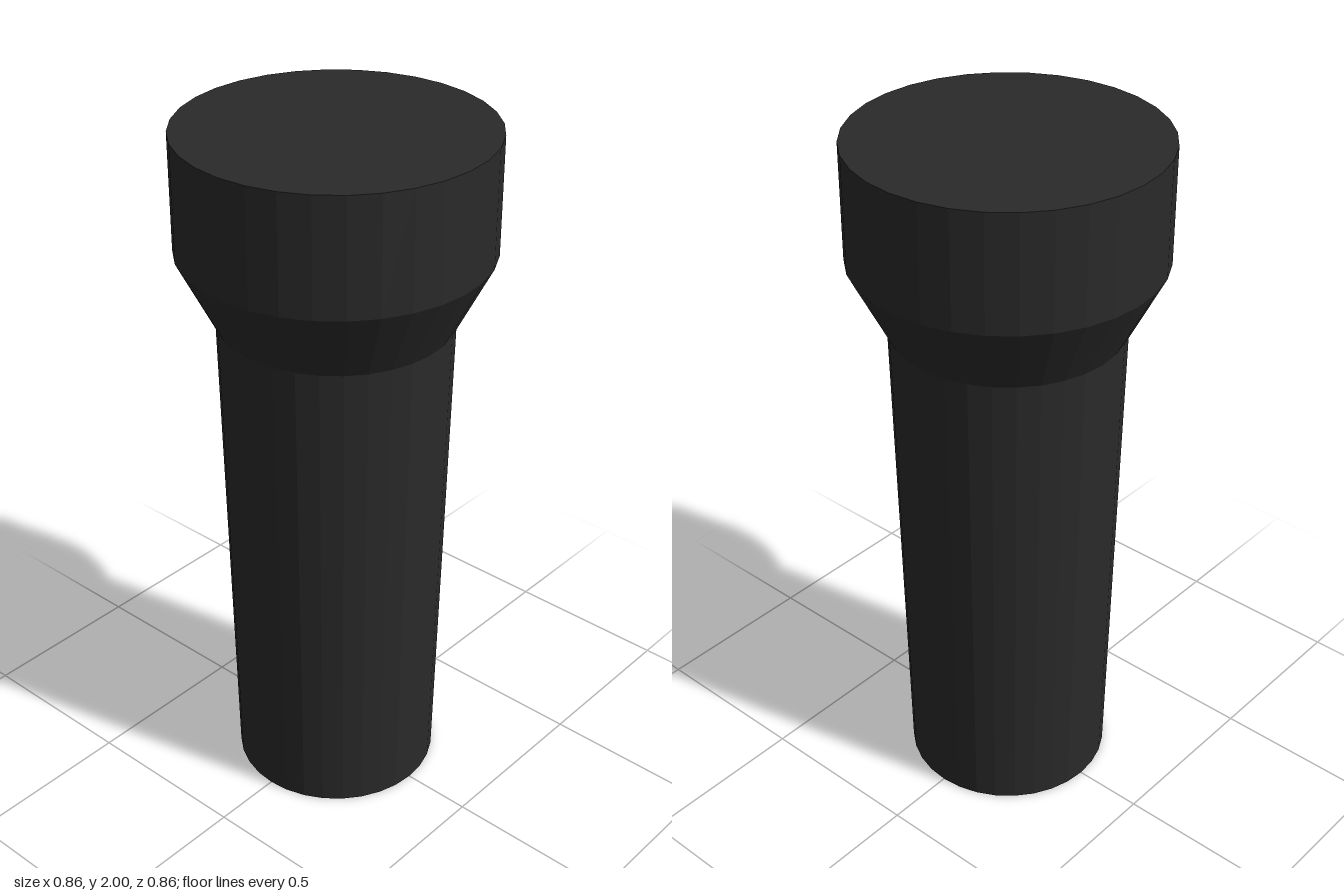
import * as THREE from 'three';

const SIDES = 32;

export function createModel() {
  const group = new THREE.Group();
  group.name = 'flashlight';
  const material = new THREE.MeshStandardMaterial({ color: 0x2a2a2a, flatShading: true });

  // Adds one round section between two heights
  function section(name, y0, r0, y1, r1) {
    const geometry = new THREE.CylinderGeometry(r1, r0, y1 - y0, SIDES, 1, true);
    const mesh = new THREE.Mesh(geometry, material);
    mesh.name = name;
    mesh.position.y = (y0 + y1) / 2;
    group.add(mesh);
  }

  // Adds a flat end disc, facing up or down
  function endCap(name, y, r, up) {
    const geometry = new THREE.CircleGeometry(r, SIDES);
    geometry.rotateX(up ? -Math.PI / 2 : Math.PI / 2);
    const mesh = new THREE.Mesh(geometry, material);
    mesh.name = name;
    mesh.position.y = y;
    group.add(mesh);
  }

  // Tapered handle, flared neck and wide head
  endCap('handleEnd', 0, 0.296, false);
  section('handle', 0, 0.296, 1.46, 0.325);
  section('neck', 1.46, 0.325, 1.67, 0.43);
  section('head', 1.67, 0.43, 2, 0.43);
  endCap('lensFace', 2, 0.43, true);

  return group;
}
